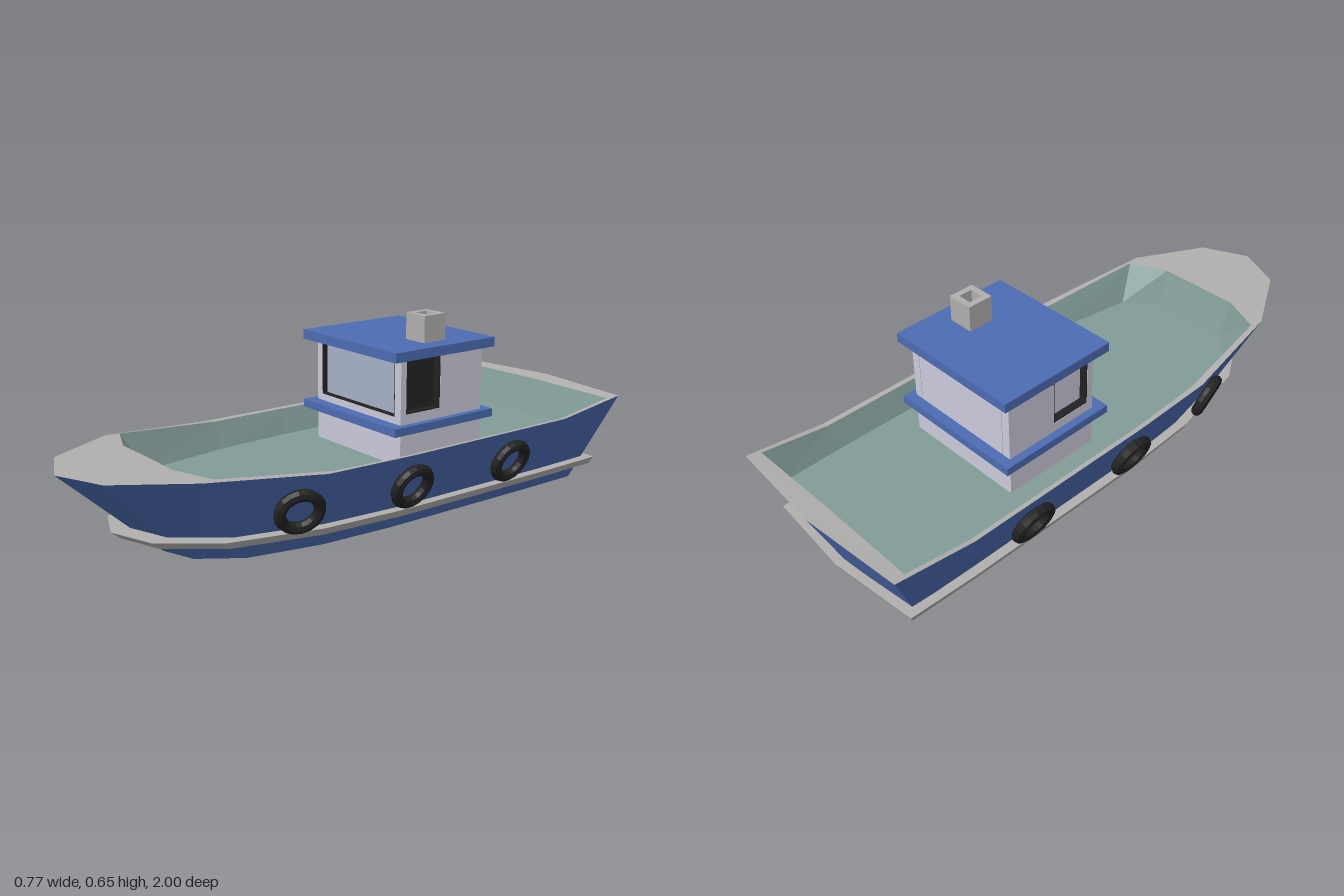
import * as THREE from 'three';

const mat = (color) => new THREE.MeshStandardMaterial({ color, flatShading: true, side: THREE.DoubleSide });
const BLUE = mat(0x4c6cb3), GREY = mat(0xb2b0ae), DECK = mat(0x829c98);
const WALL = mat(0xcccbdc), GLASS = mat(0xa8b1c8), BLACK = mat(0x222222);

// Half outlines from bow centre round the +x side to stern centre: [x, y, z]
const BOTTOM = [[0, 0, .67], [.11, 0, .63], [.2, 0, .5], [.25, 0, .26], [.265, 0, 0], [.265, 0, -.62], [.262, 0, -.84], [0, 0, -.868]];
const TOP = [[0, .306, 1], [.16, .306, .93], [.295, .3, .7], [.355, .265, .31], [.362, .262, 0], [.362, .262, -.69], [.36, .3, -.97], [0, .306, -1]];
const RIM = [[0, .304, .71], [.15, .303, .71], [.285, .3, .655], [.335, .263, .28], [.345, .26, 0], [.345, .26, -.69], [.345, .295, -.925], [0, .3, -.925]];
const FLOOR = [[0, .175, .67], [.14, .175, .67], [.25, .175, .58], [.3, .175, .27], [.315, .175, 0], [.315, .175, -.69], [.31, .175, -.885], [0, .175, -.885]];
const RAIL_Y = [.075, .071, .064, .056, .052, .052, .052, .052];

// Complete a half outline with its mirror image
const ring = (half) => [...half, ...half.slice(1, -1).reverse().map(([x, y, z]) => [-x, y, z])];

function build(triangles, name, material) {
  const g = new THREE.BufferGeometry();
  g.setAttribute('position', new THREE.Float32BufferAttribute(triangles.flat(), 3));
  g.computeVertexNormals();
  return named(new THREE.Mesh(g, material), name);
}

function named(object, name) {
  object.name = name;
  return object;
}

// Skin a series of half outlines
function loft(halves, name, material) {
  const rings = halves.map(ring), t = [];
  for (let k = 0; k + 1 < rings.length; k++) {
    const a = rings[k], b = rings[k + 1], n = a.length;
    for (let i = 0; i < n; i++) {
      const j = (i + 1) % n;
      t.push(a[i], a[j], b[j], a[i], b[j], b[i]);
    }
  }
  return build(t, name, material);
}

// Close a half outline with a fan
function cap(half, up, name, material) {
  const r = ring(half), c = [0, half[0][1], 0], t = [];
  r.forEach((p, i) => {
    const q = r[(i + 1) % r.length];
    t.push(c, up ? p : q, up ? q : p);
  });
  return build(t, name, material);
}

// Outline on the hull side at rail height, pushed outwards if wanted
function railLine(lift, out) {
  return BOTTOM.map((b, i) => {
    const y = RAIL_Y[i] + lift, t = y / TOP[i][1];
    const x = THREE.MathUtils.lerp(b[0], TOP[i][0], t);
    const z = THREE.MathUtils.lerp(b[2], TOP[i][2], t);
    return out ? [x * 1.11, y, z * (z > 0 ? 1.08 : 1.035)] : [x, y, z];
  });
}

// Box from its limits
function box(x0, x1, y0, y1, z0, z1, name, material) {
  const m = new THREE.Mesh(new THREE.BoxGeometry(x1 - x0, y1 - y0, z1 - z0), material);
  m.position.set((x0 + x1) / 2, (y0 + y1) / 2, (z0 + z1) / 2);
  return named(m, name);
}

const rect = (P, x0, x1, y0, y1) => new P([[x0, y0], [x1, y0], [x1, y1], [x0, y1]].map((p) => new THREE.Vector2(...p)));

// Rectangular panel with a rectangular opening; limits are [x0, x1, y0, y1]
function panel(outer, hole, depth, name, material) {
  const s = rect(THREE.Shape, ...outer);
  s.holes.push(rect(THREE.Path, ...hole));
  return named(new THREE.Mesh(new THREE.ExtrudeGeometry(s, { depth, bevelEnabled: false }), material), name);
}

// Wall with a black-lined, recessed window
function windowWall(outer, hole, depth, pane, name) {
  const g = named(new THREE.Group(), name);
  const [a, b, c, d] = hole, e = .004;
  g.add(panel(outer, hole, depth, 'wallPanel', WALL));
  g.add(panel(hole, [a + e, b - e, c + e, d - e], depth - .001, 'windowLining', BLACK));
  g.add(box(a, b, c, d, -.002, .002, 'windowPane', pane));
  return g;
}

function createCabin() {
  const g = named(new THREE.Group(), 'cabin');
  g.add(box(-.22, .22, .17, .29, -.425, -.075, 'cabinBase', WALL));
  g.add(box(-.247, .243, .285, .312, -.46, -.033, 'cabinLedge', BLUE));
  g.add(box(-.247, .243, .525, .557, -.46, -.033, 'roof', BLUE));
  g.add(box(-.188, .188, .31, .526, -.425, -.097, 'cabinCore', WALL));

  const front = windowWall([-.22, .22, .31, .526], [-.195, .19, .335, .52], .02, GLASS, 'frontWall');
  front.position.z = -.095;
  g.add(front);
  g.add(box(-.2, .196, .511, .525, -.09, -.073, 'windowLintel', BLACK));

  // Side walls, local x running along the boat
  const left = windowWall([.095, .425, .31, .526], [.098, .242, .345, .522], .03, BLACK, 'leftWall');
  left.rotation.y = Math.PI / 2;
  left.position.x = .19;
  const right = windowWall([-.425, -.095, .31, .526], [-.242, -.098, .345, .522], .03, WALL, 'rightWall');
  right.rotation.y = -Math.PI / 2;
  right.position.x = -.19;
  g.add(left, right);

  // Hollow square chimney
  const chimney = panel([-.045, .045, -.045, .045], [-.024, .024, -.024, .024], .09, 'chimney', GREY);
  chimney.rotation.x = -Math.PI / 2;
  chimney.position.set(.135, .556, -.25);
  g.add(chimney, box(.112, .158, .556, .58, -.273, -.227, 'chimneyInside', BLACK));
  return g;
}

// Tyre fenders hung along both flared sides
function createFenders() {
  const g = named(new THREE.Group(), 'fenders');
  const geo = new THREE.TorusGeometry(.062, .019, 8, 18);
  for (const side of [1, -1]) {
    for (const [x, z, yaw] of [[.318, .39, .3], [.345, -.02, 0], [.345, -.45, 0]]) {
      const tyre = named(new THREE.Mesh(geo, BLACK), 'tyreFender');
      tyre.rotation.set(.36, side * (Math.PI / 2 - yaw), 0, 'YXZ');
      tyre.position.set(side * x, .155, z);
      g.add(tyre);
    }
  }
  return g;
}

export function createModel() {
  const boat = named(new THREE.Group(), 'boat');
  boat.add(
    loft([BOTTOM, TOP], 'hullSides', BLUE),
    cap(BOTTOM, false, 'hullBottom', BLUE),
    loft([TOP, RIM], 'gunwale', GREY),
    loft([RIM, FLOOR], 'bulwarkInside', DECK),
    cap(FLOOR, true, 'deck', DECK),
    loft([railLine(0, false), railLine(0, true), railLine(.024, true), railLine(.024, false)], 'rubRail', GREY),
    createCabin(),
    createFenders(),
  );
  return boat;
}
